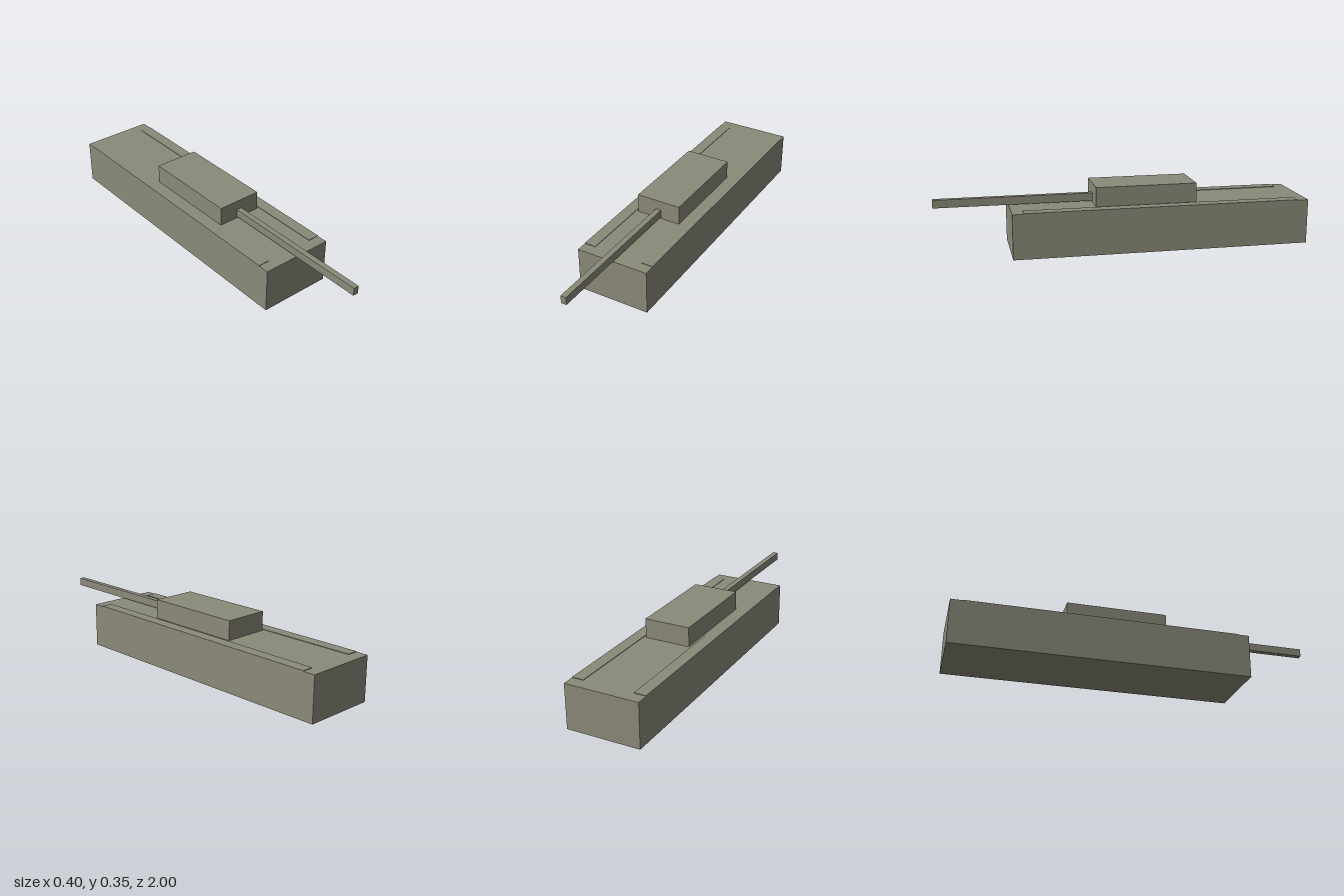
import * as THREE from 'three';

const material = new THREE.MeshStandardMaterial({ color: 0x8b8a7a, flatShading: true });

// Box given by its [min, max] extent along each axis
function block(name, [x0, x1], [y0, y1], [z0, z1]) {
  const mesh = new THREE.Mesh(new THREE.BoxGeometry(x1 - x0, y1 - y0, z1 - z0), material);
  mesh.position.set((x0 + x1) / 2, (y0 + y1) / 2, (z0 + z1) / 2);
  mesh.name = name;
  return mesh;
}

export function createModel() {
  const group = new THREE.Group();
  group.name = 'tank';
  const deck = 0.242;

  group.add(block('hull', [-0.2, 0.2], [0, deck], [-1, 0.605]));
  group.add(block('turret', [-0.124, 0.124], [deck, 0.346], [-0.39, 0.157]));
  group.add(block('gunBarrel', [-0.015, 0.015], [0.25, 0.293], [0.157, 1]));

  // Thin track covers along both deck edges
  group.add(block('leftTrackCover', [0.137, 0.2], [deck, 0.245], [-0.935, 0.545]));
  group.add(block('rightTrackCover', [-0.2, -0.137], [deck, 0.245], [-0.935, 0.545]));

  return group;
}
